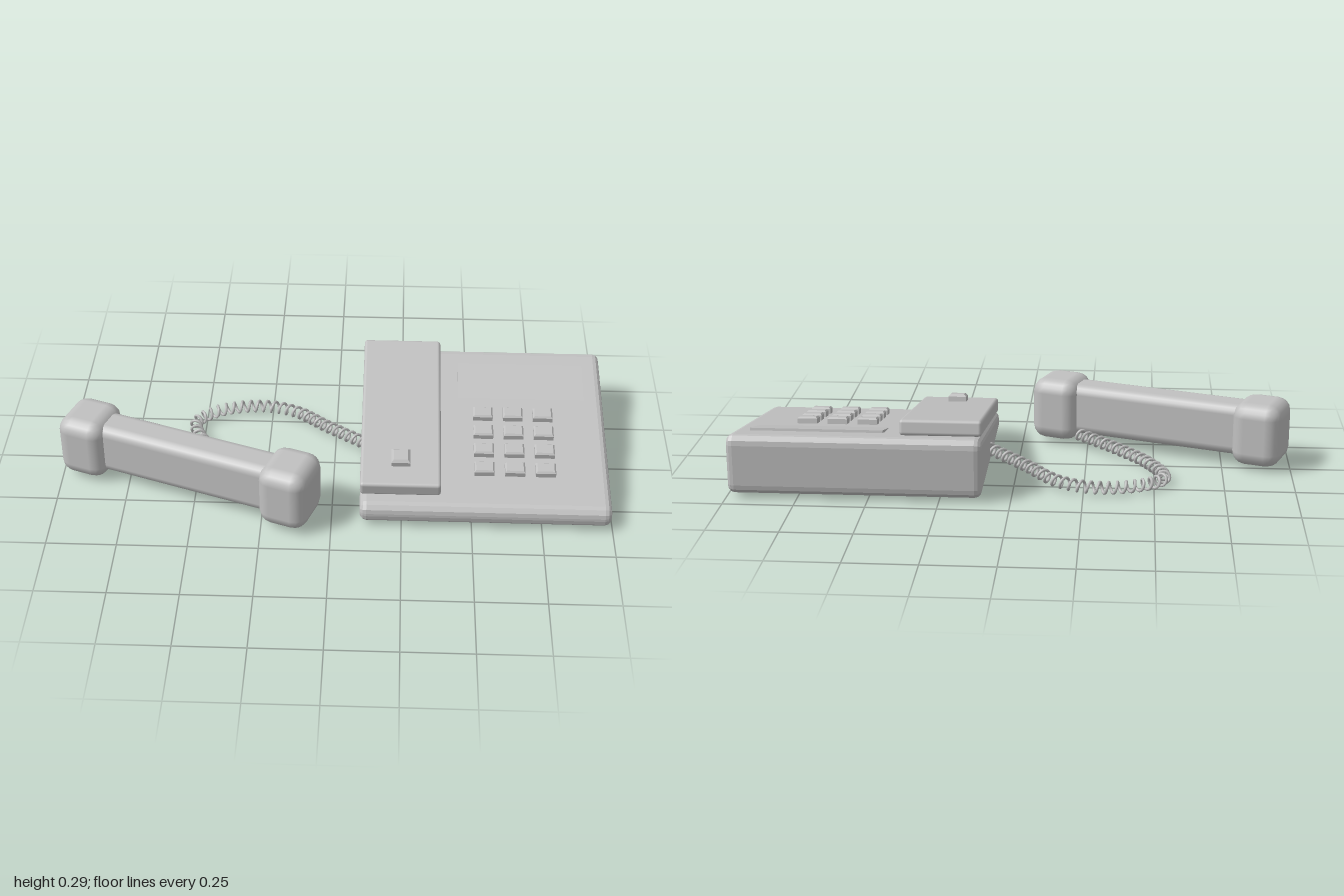
import * as THREE from 'three';
import { RoundedBoxGeometry } from 'three/addons/geometries/RoundedBoxGeometry.js';

const grey = new THREE.MeshStandardMaterial({ color: 0xc0c0c0 });
grey.name = 'grey plastic';
const rad = THREE.MathUtils.degToRad;

function add(parent, name, geometry, x = 0, y = 0, z = 0) {
  const mesh = new THREE.Mesh(geometry, grey);
  mesh.name = name;
  mesh.position.set(x, y, z);
  parent.add(mesh);
  return mesh;
}

function addGroup(parent, name, x, y, z) {
  const group = new THREE.Group();
  group.name = name;
  group.position.set(x, y, z);
  parent.add(group);
  return group;
}

// Closed outline with softened corners
function softOutline(points, r) {
  const shape = new THREE.Shape();
  const pts = points.map(([x, y]) => new THREE.Vector2(x, y));
  pts.forEach((p, i) => {
    const toward = (q) => p.clone().add(q.clone().sub(p).setLength(r));
    const a = toward(pts[(i + pts.length - 1) % pts.length]);
    const b = toward(pts[(i + 1) % pts.length]);
    if (i === 0) shape.moveTo(a.x, a.y);
    else shape.lineTo(a.x, a.y);
    shape.quadraticCurveTo(p.x, p.y, b.x, b.y);
  });
  shape.closePath();
  return shape;
}

// Push button: a box whose top is slightly smaller than its base
function keyGeometry(w, h, d, inset) {
  const g = new THREE.BoxGeometry(w, h, d, 1, 2, 1).toNonIndexed();
  const p = g.attributes.position;
  for (let i = 0; i < p.count; i++) {
    if (p.getY(i) > h / 4) {
      p.setX(i, p.getX(i) * (1 - 2 * inset / w));
      p.setZ(i, p.getZ(i) * (1 - 2 * inset / d));
    } else if (p.getY(i) > -h / 4) p.setY(i, h / 2 - inset);
  }
  g.computeVertexNormals();
  return g;
}

// Helix wound around a centre line
class CoilCurve extends THREE.Curve {
  constructor(path, radius, turns) {
    super();
    Object.assign(this, { path, radius, turns });
  }
  getPoint(t, target = new THREE.Vector3()) {
    const tangent = this.path.getTangentAt(t);
    const side = new THREE.Vector3(-tangent.z, 0, tangent.x).normalize();
    const up = side.clone().cross(tangent);
    const a = t * this.turns * Math.PI * 2;
    return target.copy(this.path.getPointAt(t))
      .addScaledVector(side, Math.cos(a) * this.radius)
      .addScaledVector(up, Math.sin(a) * this.radius);
  }
}

export function createModel() {
  const model = new THREE.Group();
  model.name = 'deskTelephone';

  // Wedge-shaped base with rounded edges
  const bevel = 0.025;
  const left = 0.1, right = 0.995;
  const bodyGeometry = new THREE.ExtrudeGeometry(
    softOutline([[-0.342, 0.039], [0.418, 0.039], [0.418, 0.204], [-0.342, 0.068]], 0.012),
    { depth: right - left - 2 * bevel, bevelEnabled: true, bevelSize: bevel,
      bevelThickness: bevel, bevelSegments: 3, curveSegments: 3 });
  bodyGeometry.rotateY(Math.PI / 2);
  add(model, 'body', bodyGeometry, left + bevel);

  // Sloped keypad: three columns by four rows
  const slope = addGroup(model, 'keypad', 0, 0.153, 0);
  slope.rotation.x = rad(10.1);
  const key = keyGeometry(0.072, 0.04, 0.052, 0.006);
  for (let row = 0; row < 4; row++) {
    for (let col = 0; col < 3; col++) {
      add(slope, 'key', key, 0.545 + col * 0.11, 0.006, -0.088 + row * 0.091);
    }
  }

  // Slightly lifted label plate behind the keys
  const plate = add(slope, 'labelPlate', new THREE.BoxGeometry(0.47, 0.009, 0.2), 0.69, 0.003, -0.25);
  plate.rotation.x = rad(4.5);

  // Raised handset rest with its hook button
  const rest = addGroup(model, 'handsetRest', 0.244, 0.195, -0.046);
  rest.rotation.x = rad(10.7);
  add(rest, 'restPlate', new RoundedBoxGeometry(0.288, 0.056, 0.735, 2, 0.012));
  add(rest, 'hookButton', keyGeometry(0.068, 0.04, 0.066, 0.009), 0, 0.035, 0.245);

  // Handset lying beside the base
  const handset = addGroup(model, 'handset', -0.52, 0, 0.185);
  handset.rotation.y = rad(-20);
  add(handset, 'handle', new RoundedBoxGeometry(0.74, 0.193, 0.135, 2, 0.036), 0, 0.137, 0);
  for (const s of [-1, 1]) {
    add(handset, s < 0 ? 'earpiece' : 'mouthpiece',
      new RoundedBoxGeometry(0.182, 0.236, 0.208, 2, 0.052), s * 0.397, 0.133, 0);
  }

  // Coiled cord from the side of the base to the handset
  const path = new THREE.CatmullRomCurve3([
    [0.11, 0.07, -0.035], [-0.035, 0.05, -0.16], [-0.16, 0.032, -0.275],
    [-0.29, 0.026, -0.315], [-0.45, 0.026, -0.28], [-0.535, 0.026, -0.2],
    [-0.48, 0.03, -0.05], [-0.37, 0.036, 0.08], [-0.21, 0.045, 0.23],
  ].map((p) => new THREE.Vector3(...p)));
  const coil = new CoilCurve(path, 0.02, 42);
  add(model, 'coiledCord', new THREE.TubeGeometry(coil, 42 * 14, 0.0055, 6));

  return model;
}
